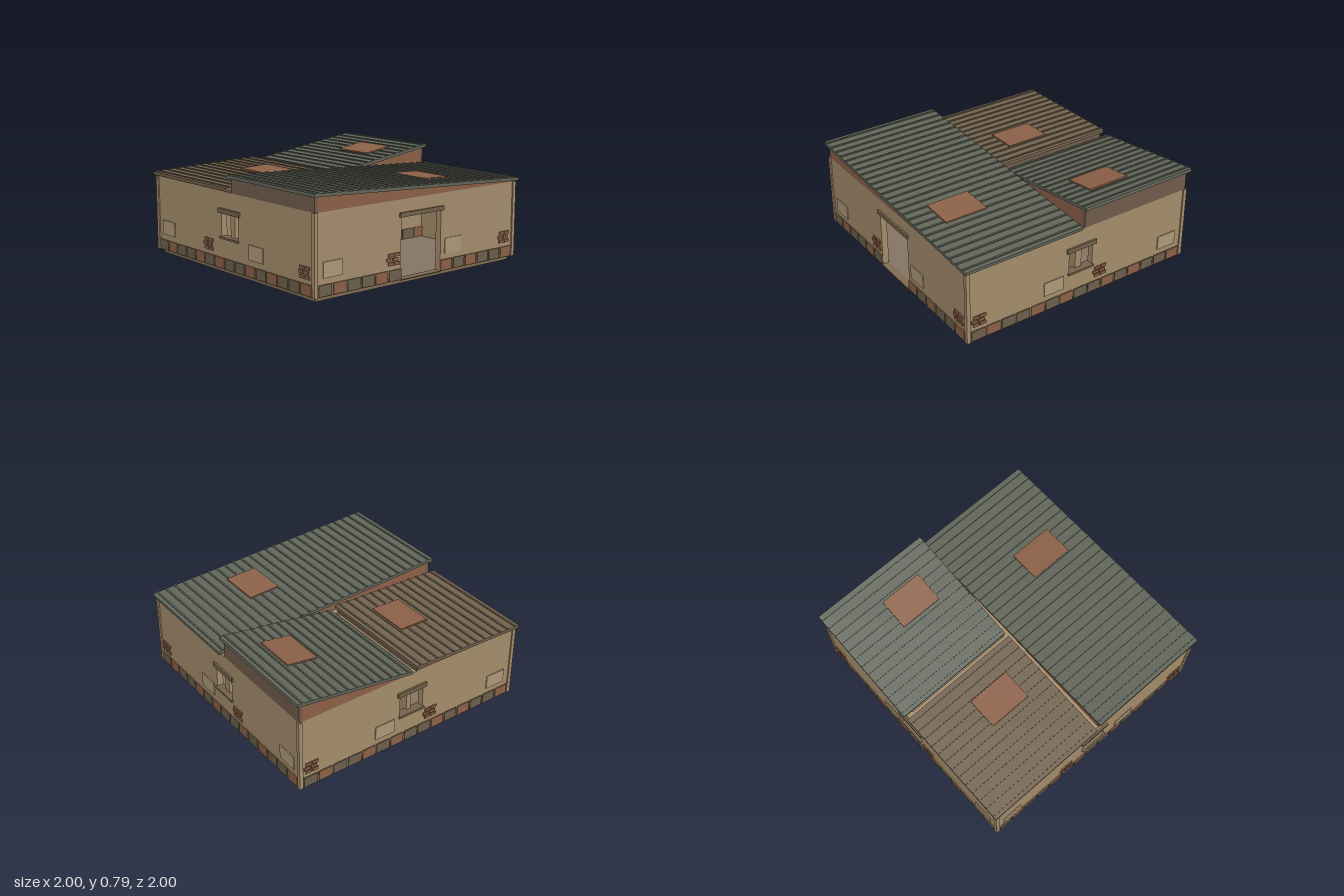
import * as THREE from 'three';

const material = (color) => new THREE.MeshStandardMaterial({ color, flatShading: true });
const MAT = {
  plaster: material(0xa68e6c), patch: material(0xb09a7a), timber: material(0x75634c),
  rust: material(0x8d6148), brickGrey: material(0x6e614c), filler: material(0x715c4c),
  base: material(0x806c54), floor: material(0x857565),
  green: material(0x62665a), brown: material(0x746450),
};
const WALL_TOP = 0.61, FLOOR = 0.03, FACE = 0.975, ROOF_THICK = 0.024;

function add(parent, name, geometry, mat, x = 0, y = 0, z = 0) {
  const mesh = new THREE.Mesh(geometry, mat);
  mesh.name = name;
  mesh.position.set(x, y, z);
  parent.add(mesh);
  return mesh;
}
const box = (parent, name, mat, w, h, d, x, y, z) =>
  add(parent, name, new THREE.BoxGeometry(w, h, d), mat, x, y, z);

function group(parent, name) {
  const g = new THREE.Group();
  g.name = name;
  parent.add(g);
  return g;
}

// One row of mixed bricks along the foot of a wall, skipping a gap such as a doorway
function brickCourse(parent, z, gap = 0) {
  const course = group(parent, 'brickCourse');
  for (let i = 0; i < 15; i++) {
    const u = -0.889 + i * 0.127, w = 0.113;
    let a = u - w / 2, b = u + w / 2;
    if (gap && a > -gap && b < gap) continue;
    if (a < -gap) b = gap ? Math.min(b, -gap) : b;
    else if (b > gap && gap) a = Math.max(a, gap);
    const mat = (i * 7 + 3) % 5 < 2 ? MAT.rust : MAT.brickGrey;
    box(course, 'footBrick', mat, b - a, 0.08, 0.012, (a + b) / 2, 0.075, z);
  }
}

// Exposed bricks where the plaster has fallen away
function brickCluster(parent, u, z) {
  const cluster = group(parent, 'exposedBricks');
  [[-0.025, 0.03], [-0.04, 0.018], [-0.025, 0.03]].forEach((row, j) => {
    for (const du of row)
      box(cluster, 'brick', MAT.rust, 0.05, 0.023, 0.012, u + du, 0.16 + j * 0.032, z);
  });
}

const plasterPatch = (parent, u, z) =>
  box(parent, 'plasterPatch', MAT.patch, 0.17, 0.112, 0.01, u, 0.215, z);

// Outer wall with a window hole or a doorway, built facing +z and turned into place
function outerWall(parent, name, turn, hasDoor, patches, clusters) {
  const side = group(parent, name);
  side.rotation.y = turn;
  const s = new THREE.Shape();
  s.moveTo(-0.97, FLOOR);
  if (hasDoor) {
    s.lineTo(-0.195, FLOOR); s.lineTo(-0.195, 0.485);
    s.lineTo(0.195, 0.485); s.lineTo(0.195, FLOOR);
  }
  s.lineTo(0.97, FLOOR); s.lineTo(0.97, WALL_TOP); s.lineTo(-0.97, WALL_TOP);
  s.closePath();
  if (!hasDoor) {
    const hole = new THREE.Path();
    hole.moveTo(-0.105, 0.27); hole.lineTo(-0.105, 0.45);
    hole.lineTo(0.105, 0.45); hole.lineTo(0.105, 0.27);
    hole.closePath();
    s.holes.push(hole);
  }
  add(side, 'wallPanel', new THREE.ExtrudeGeometry(s, { depth: 0.05, bevelEnabled: false }),
    MAT.plaster, 0, 0, FACE - 0.05);
  if (hasDoor) {
    box(side, 'doorLintel', MAT.timber, 0.43, 0.032, 0.07, 0, 0.5, FACE - 0.02);
    box(side, 'threshold', MAT.base, 0.39, 0.008, 0.06, 0, FLOOR + 0.002, FACE - 0.02);
  } else {
    box(side, 'windowLintel', MAT.timber, 0.26, 0.036, 0.07, 0, 0.467, FACE - 0.02);
    box(side, 'windowSill', MAT.timber, 0.23, 0.016, 0.07, 0, 0.267, FACE - 0.02);
  }
  brickCourse(side, FACE + 0.003, hasDoor ? 0.195 : 0);
  patches.forEach((u) => plasterPatch(side, u, FACE + 0.002));
  clusters.forEach((u) => brickCluster(side, u, FACE + 0.003));
}

// Sloping ribbed roof on gables and side fillers; yA and yB are the top heights at xA and xB
function roofSection(parent, name, mat, xA, xB, zA, zB, yA, yB, patchX, patchZ, ribCount) {
  const section = group(parent, name);
  const slope = Math.atan2(yB - yA, xB - xA), len = (xB - xA) / Math.cos(slope);
  const depth = zB - zA, zMid = (zA + zB) / 2, xMid = (xA + xB) / 2;
  const topAt = (x) => yA + (yB - yA) * (x - xA) / (xB - xA);

  const sheet = group(section, 'roofSheet');
  sheet.position.set(xMid, (yA + yB) / 2, zMid);
  sheet.rotation.z = slope;
  box(sheet, 'roofPanel', mat, len, ROOF_THICK, depth, 0, -ROOF_THICK / 2, 0);
  for (let i = 0; i < ribCount; i++)
    box(sheet, 'roofRib', mat, 0.014, 0.008, depth, ((i + 0.5) / ribCount - 0.5) * len, 0.004, 0);
  box(sheet, 'roofPatch', MAT.rust, 0.25, 0.012, 0.345,
    (patchX - xMid) / Math.cos(slope), 0.005, patchZ - zMid);

  // Closing pieces between wall top and roof underside
  const infill = (partName, m, a, b, z0, z1) => {
    const ya = topAt(a) - ROOF_THICK, yb = topAt(b) - ROOF_THICK;
    if (Math.max(ya, yb) < WALL_TOP + 0.004) return;
    const s = new THREE.Shape();
    s.moveTo(a, WALL_TOP);
    s.lineTo(b, WALL_TOP);
    s.lineTo(b, Math.max(yb, WALL_TOP + 0.0005));
    s.lineTo(a, Math.max(ya, WALL_TOP + 0.0005));
    s.closePath();
    add(section, partName, new THREE.ExtrudeGeometry(s, { depth: z1 - z0, bevelEnabled: false }), m, 0, 0, z0);
  };
  const inset = (v) => (Math.abs(v) > 0.5 ? v - Math.sign(v) * 0.025 : v + Math.sign(v) * 0.015);
  const a = inset(xA), b = inset(xB), z0 = inset(zA), z1 = inset(zB);
  infill('gable', MAT.rust, a + 0.028, b - 0.028, z0, z0 + 0.028);
  infill('gable', MAT.rust, a + 0.028, b - 0.028, z1 - 0.028, z1);
  infill('sideFiller', MAT.filler, a, a + 0.028, z0, z1);
  infill('sideFiller', MAT.filler, b - 0.028, b, z0, z1);
}

export function createModel() {
  const house = new THREE.Group();
  house.name = 'house';

  // Footing and floor
  box(house, 'footing', MAT.base, 1.9, FLOOR, 1.9, 0, FLOOR / 2, 0);
  box(house, 'floor', MAT.floor, 1.86, 0.004, 1.86, 0, FLOOR, 0);

  // Four outer walls and the corner posts
  const pA = [-0.82, 0.32], cA = [-0.27, 0.87], pB = [-0.24, 0.82], cB = [-0.88, 0.18];
  outerWall(house, 'frontWall', 0, true, pA, cA);
  outerWall(house, 'leftWall', Math.PI / 2, false, pB, cB);
  outerWall(house, 'backWall', Math.PI, false, pB, cB);
  outerWall(house, 'rightWall', -Math.PI / 2, false, pA, cA);
  const h = WALL_TOP - FLOOR;
  for (const sx of [-1, 1])
    for (const sz of [-1, 1])
      box(house, 'cornerPost', MAT.plaster, 0.03, h, 0.03, sx * 0.97, FLOOR + h / 2, sz * 0.97);

  // Inner walls dividing the front room from two back rooms
  box(house, 'crossWall', MAT.plaster, 1.9, h, 0.055, 0, FLOOR + h / 2, 0.003);
  box(house, 'backDivider', MAT.plaster, 0.04, h, 0.93, 0, FLOOR + h / 2, -0.48);
  const inner = group(house, 'crossWallDetails');
  brickCourse(inner, 0.033);
  [-0.165, 0.135].forEach((u) => plasterPatch(inner, u, 0.032));
  [-0.08, 0.21].forEach((u) => brickCluster(inner, u, 0.034));

  // Three roofs
  roofSection(house, 'frontRoof', MAT.green, -1, 1, 0.01, 1, 0.745, 0.64, 0.32, 0.625, 26);
  roofSection(house, 'backLeftRoof', MAT.green, 0.02, 1, -1, -0.01, 0.648, 0.79, 0.66, -0.39, 13);
  roofSection(house, 'backRightRoof', MAT.brown, -1, -0.02, -1, -0.01, 0.645, 0.672, -0.345, -0.39, 13);
  return house;
}
